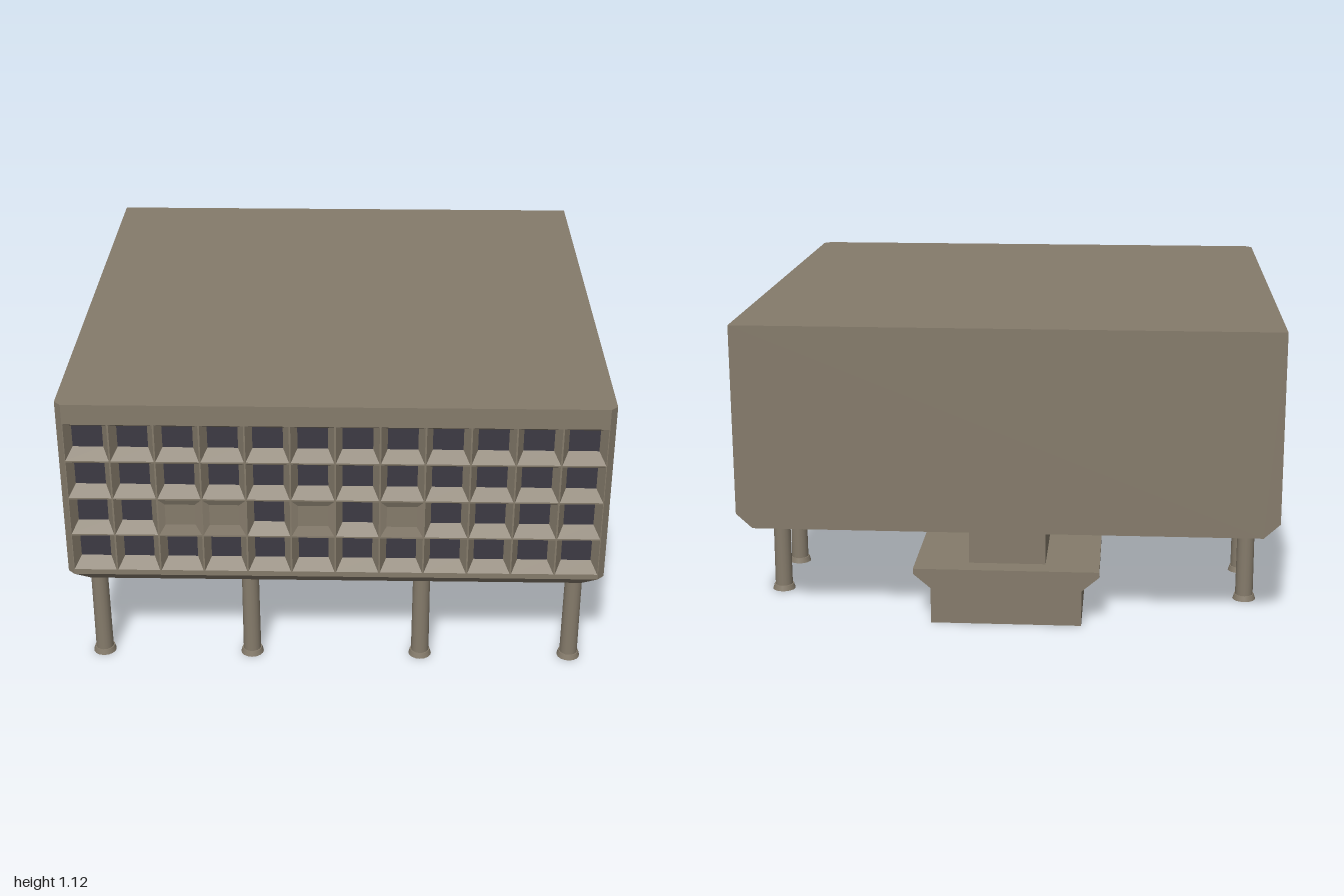
import * as THREE from 'three';
import { mergeGeometries } from 'three/addons/utils/BufferGeometryUtils.js';

const concrete = new THREE.MeshStandardMaterial({ color: 0x857b6b });
concrete.name = 'concrete';
const glass = new THREE.MeshStandardMaterial({ color: 0x3c3a44 });
glass.name = 'glass';

// Flat-shaded geometry from convex polygons, corners counter-clockwise from outside
function faces(polys) {
  const pos = [];
  for (const p of polys)
    for (let i = 1; i < p.length - 1; i++) pos.push(...p[0], ...p[i], ...p[i + 1]);
  const g = new THREE.BufferGeometry();
  g.setAttribute('position', new THREE.Float32BufferAttribute(pos, 3));
  g.computeVertexNormals();
  return g;
}

// Quads joining two loops of equal length; a is the lower loop, counter-clockwise from above
function loft(a, b, closed = true) {
  const out = [], n = a.length;
  for (let i = 0; i < (closed ? n : n - 1); i++) {
    const j = (i + 1) % n;
    out.push([a[i], a[j], b[j], b[i]]);
  }
  return out;
}

const rect = (x0, x1, y0, y1, z) => [[x0, y0, z], [x1, y0, z], [x1, y1, z], [x0, y1, z]];

function add(parent, name, geometry, material = concrete, x = 0, y = 0, z = 0) {
  const m = new THREE.Mesh(geometry, material);
  m.name = name;
  m.position.set(x, y, z);
  parent.add(m);
  return m;
}

const box = (parent, name, x0, x1, y0, y1, z0, z1, mat) =>
  add(parent, name, new THREE.BoxGeometry(x1 - x0, y1 - y0, z1 - z0), mat,
    (x0 + x1) / 2, (y0 + y1) / 2, (z0 + z1) / 2);

// Main block limits
const TOP = 1.12, EAVE = 0.41, UNDER = 0.355, BACK = -0.99, FRONT = 0.985;
const COLS = 12, ROWS = 4, PITCH = 0.1625, ROW = 0.154, SILL = 0.428, HALF = 0.975;

// Grid of splayed window recesses; blank lists the cells closed by a panel
function facade(name, blank) {
  const group = new THREE.Group();
  group.name = name;
  const wall = [], panes = [], panels = [], rib = 0.003;
  const head = SILL + ROWS * ROW;
  wall.push(rect(-HALF, HALF, EAVE, SILL, 0), rect(-HALF, HALF, head, TOP, 0));
  for (let r = 0; r < ROWS; r++) {
    for (let c = 0; c < COLS; c++) {
      const x0 = -HALF + c * PITCH, x1 = x0 + PITCH;
      const y0 = SILL + r * ROW, y1 = y0 + ROW;
      const closed = blank.includes(r * COLS + c);
      const depth = closed ? 0.01 : 0.04;
      const outer = rect(x0, x1, y0, y1, 0);
      const rim = rect(x0 + rib, x1 - rib, y0 + rib, y1 - rib, 0);
      const inner = rect(x0 + 0.026, x1 - 0.026, y0 + 0.042, y1 - 0.027, -depth);
      wall.push(...loft(outer, rim), ...loft(rim, inner));
      (closed ? panels : panes).push(inner);
    }
  }
  add(group, 'windowGrid', faces(wall));
  add(group, 'windowPanes', faces(panes), glass);
  if (panels.length) add(group, 'blankPanels', faces(panels));
  return group;
}

function buildBlock(root) {
  // Plan outline with clipped front corners, from back right round the front
  const plan = (w, cw, f, cf, y) => [[-w, y, BACK], [-w, y, cf], [-cw, y, f],
    [cw, y, f], [w, y, cf], [w, y, BACK]];
  const low = plan(0.94, 0.925, 0.925, 0.91, UNDER);
  const eave = plan(1, HALF, FRONT, 0.96, EAVE);
  const roof = plan(1, HALF, FRONT, 0.96, TOP);

  add(root, 'roof', faces([roof]));
  add(root, 'lowerBevel', faces(loft(low, eave, false)));
  add(root, 'cornerStrips', faces([
    [eave[1], eave[2], roof[2], roof[1]], [eave[3], eave[4], roof[4], roof[3]]]));
  add(root, 'backWall', faces([[low[0], eave[0], roof[0], roof[5], eave[5], low[5]]]));

  // Facades on the front and both sides
  root.add(facade('frontFacade', [14, 15, 17, 19]));
  root.children.at(-1).position.z = FRONT;
  for (const s of [-1, 1]) {
    const side = facade(s > 0 ? 'leftFacade' : 'rightFacade', []);
    side.position.set(s, 0, (BACK + 0.96) / 2);
    side.rotation.y = s * Math.PI / 2;
    root.add(side);
  }

  // Underside with octagonal coffers, left plain over the lobby
  const soffit = new THREE.Shape(low.map(p => new THREE.Vector2(p[0], p[2])));
  const coffers = [];
  const octagon = (cx, cz, r, y) => Array.from({ length: 8 }, (_, i) => {
    const a = (i + 0.5) * Math.PI / 4;
    return [cx + r * Math.cos(a), y, cz + r * Math.sin(a)];
  });
  for (let i = -2; i <= 2; i++) {
    for (let j = -2; j <= 2; j++) {
      if (i === 0 && j <= 0) continue;
      const cx = i * 0.38, cz = -0.03 + j * 0.38;
      const mouth = octagon(cx, cz, 0.175, UNDER);
      const ceiling = octagon(cx, cz, 0.14, UNDER + 0.06);
      soffit.holes.push(new THREE.Path(mouth.map(p => new THREE.Vector2(p[0], p[2]))));
      coffers.push(...loft(mouth, ceiling), ceiling);
    }
  }
  add(root, 'soffit', new THREE.ShapeGeometry(soffit).rotateX(Math.PI / 2), concrete, 0, UNDER, 0);
  add(root, 'coffers', faces(coffers));
}

function buildColumns(root) {
  const shaft = new THREE.CylinderGeometry(0.032, 0.034, 0.405, 16).translate(0, 0.2125, 0);
  const foot = new THREE.CylinderGeometry(0.038, 0.044, 0.02, 16).translate(0, 0.01, 0);
  const column = mergeGeometries([shaft, foot]);
  const rows = [[0.885, [0.9, 0.325]], [0.315, [0.9, 0.325]], [-0.335, [0.9]], [-0.66, [0.9]]];
  for (const [z, xs] of rows)
    for (const x of xs)
      for (const s of [-1, 1]) add(root, 'column', column, concrete, s * x, 0, z);
}

function buildLobby(root) {
  const lobby = new THREE.Group();
  lobby.name = 'lobby';
  root.add(lobby);
  // Walls, open at the floor
  for (const s of [-1, 1]) {
    const span = (a, b) => (s > 0 ? [a, b] : [-b, -a]);
    box(lobby, 'lobbySideWall', ...span(0.26, 0.28), 0, 0.19, BACK, -0.43);
    box(lobby, 'lobbyPier', ...span(0.2, 0.28), 0, 0.135, -0.43, -0.37);
    box(lobby, 'doorJamb', ...span(0.18, 0.2), 0, 0.135, -0.43, -0.39);
  }
  box(lobby, 'lobbyBackWall', -0.26, 0.26, 0, 0.19, BACK, -0.97);
  box(lobby, 'entranceGlass', -0.18, 0.18, 0, 0.132, -0.425, -0.417, glass);
  box(lobby, 'lintel', -0.28, 0.28, 0.132, 0.19, -0.43, -0.41);
  // Canopy with sloping edges
  box(lobby, 'canopySlab', -0.345, 0.345, 0.19, 0.21, BACK, -0.28);
  const edge = (w, f, y) => [[-w, y, BACK], [-w, y, f], [w, y, f], [w, y, BACK]];
  const lo = edge(0.28, -0.37, 0.135), hi = edge(0.345, -0.28, 0.19);
  add(lobby, 'canopyBevel', faces([...loft(lo, hi, false),
    [lo[0], [-0.28, 0.19, BACK], hi[0]].reverse(), [lo[3], [0.28, 0.19, BACK], hi[3]],
    [[-0.28, 0.135, -0.41], [0.28, 0.135, -0.41], lo[2], lo[1]]]));
  // Core rising to the main block
  box(lobby, 'lobbyCore', -0.143, 0.143, 0.21, UNDER, -0.91, -0.56);
}

export function createModel() {
  const root = new THREE.Group();
  root.name = 'building';
  buildBlock(root);
  buildColumns(root);
  buildLobby(root);
  return root;
}
